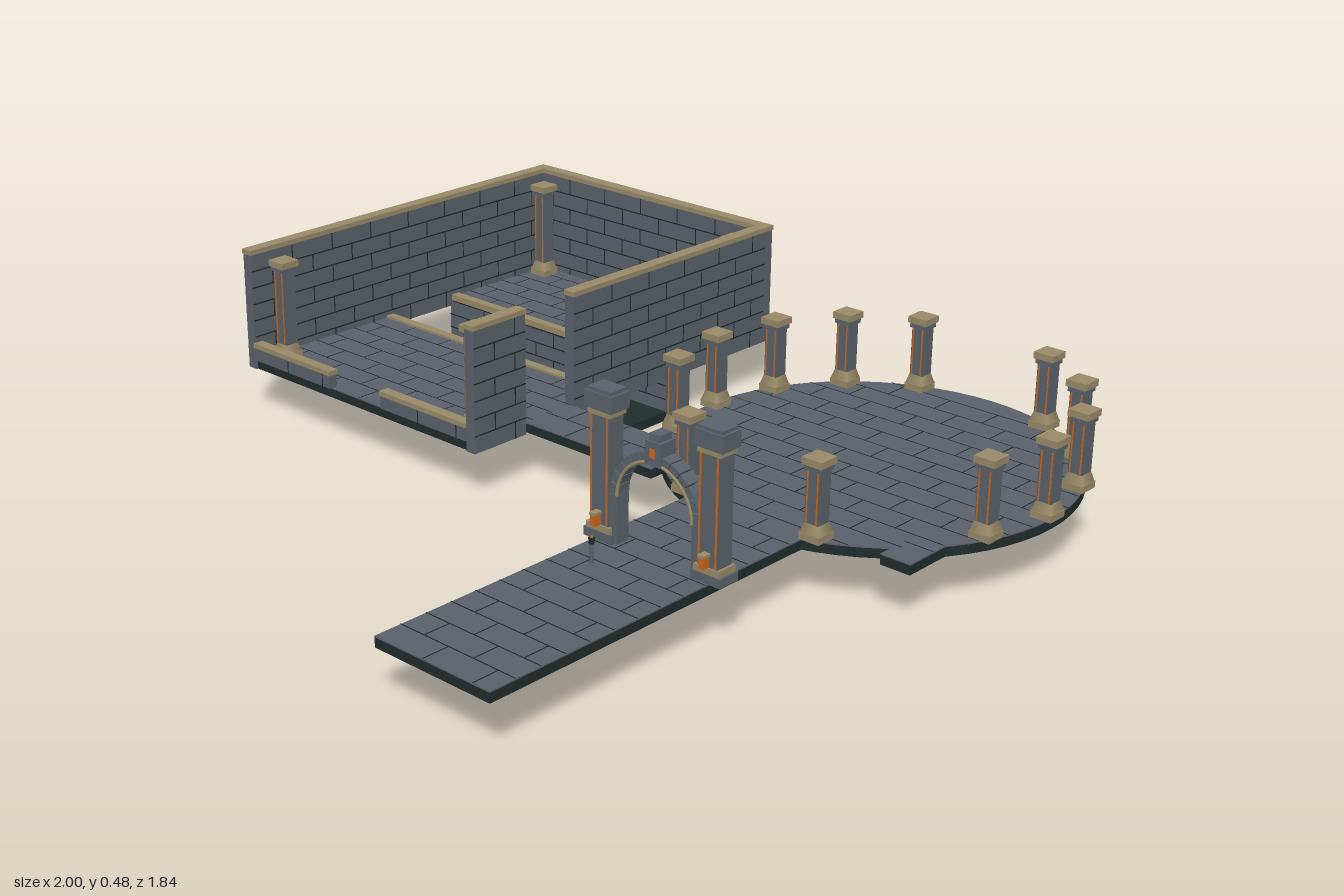
import * as THREE from 'three';
import { mergeGeometries } from 'three/addons/utils/BufferGeometryUtils.js';

const mat = (name, color) => {
  const m = new THREE.MeshStandardMaterial({ color });
  m.name = name;
  return m;
};

export function createModel() {
  const stone = mat('greyStone', 0x59616a);
  const dark = mat('darkStone', 0x1f2c2d);
  const sand = mat('sandstone', 0x988967);
  const glow = mat('orangeGlow', 0xc8661c);
  const root = new THREE.Group();
  root.name = 'ruinedCourt';

  const add = (parent, name, geo, material) => {
    const m = new THREE.Mesh(geo, material);
    m.name = name;
    parent.add(m);
    return m;
  };
  // Box given by its minimum and maximum corners
  const box = (parent, name, material, x0, x1, y0, y1, z0, z1) => {
    const m = add(parent, name, new THREE.BoxGeometry(x1 - x0, y1 - y0, z1 - z0), material);
    m.position.set((x0 + x1) / 2, (y0 + y1) / 2, (z0 + z1) / 2);
    return m;
  };
  const group = (name, x = 0, y = 0, z = 0) => {
    const g = new THREE.Group();
    g.name = name;
    g.position.set(x, y, z);
    root.add(g);
    return g;
  };

  // Running-bond joint lines on a w x h face; radius clips them to a disc
  const joints = (name, w, h, row, brick, radius = 0) => {
    const geos = [], t = 0.0035;
    const strip = (sx, sy, x, y) => geos.push(new THREE.PlaneGeometry(sx, sy).translate(x, y, 0));
    const half = y => (radius ? Math.sqrt(Math.max(0, radius * radius - y * y)) : w / 2);
    const rows = Math.max(1, Math.round(h / row)), rh = h / rows;
    for (let i = 0; i < rows; i++) {
      const y = -h / 2 + i * rh;
      if (i > 0) strip(half(y) * 2, t, 0, y);
      const reach = Math.min(half(y), half(y + rh)) - 0.01;
      for (let x = -w / 2 + (i % 2 ? 0.5 : 1) * brick; x < reach; x += brick)
        if (x > -reach) strip(t, rh, x, y + rh / 2);
    }
    const m = new THREE.Mesh(mergeGeometries(geos), dark);
    m.name = name;
    return m;
  };

  const BASE = 0.12, FLOOR = 0.145;
  // Paved rectangle: dark slab with a grey tiled top
  const paving = (name, x0, x1, z0, z1) => {
    const g = group(name);
    box(g, 'slab', dark, x0, x1, BASE, 0.142, z0, z1);
    box(g, 'tiles', stone, x0, x1, 0.142, FLOOR, z0, z1);
    const j = joints('tileJoints', x1 - x0, z1 - z0, 0.067, 0.134);
    j.rotation.x = -Math.PI / 2;
    j.position.set((x0 + x1) / 2, FLOOR + 0.001, (z0 + z1) / 2);
    g.add(j);
  };
  // Brick wall with joints on its long faces and an optional coping
  const wall = (name, x0, x1, y0, y1, z0, z1, coping = true) => {
    const g = group(name), top = coping ? y1 - 0.012 : y1;
    box(g, 'bricks', stone, x0, x1, y0, top, z0, z1);
    if (coping) box(g, 'coping', sand, x0 - 0.002, x1 + 0.002, top, y1, z0 - 0.002, z1 + 0.002);
    const alongX = x1 - x0 > z1 - z0;
    const thick = (alongX ? z1 - z0 : x1 - x0) / 2 + 0.001;
    for (const side of [1, -1]) {
      const j = joints('brickJoints', alongX ? x1 - x0 : z1 - z0, top - y0, 0.042, 0.13);
      j.position.set((x0 + x1) / 2, (y0 + top) / 2, (z0 + z1) / 2);
      j.position[alongX ? 'z' : 'x'] += side * thick;
      j.rotation.y = alongX ? (side > 0 ? 0 : Math.PI) : side * Math.PI / 2;
      g.add(j);
    }
  };

  // Hall floor on both sides of the channel
  paving('hallFloorBack', -0.99, -0.19, -0.91, -0.54);
  paving('hallFloorFront', -0.99, -0.19, -0.315, 0.13);
  // Hall walls, with a doorway on the left and a low parapet at the front
  wall('backWall', -0.998, -0.182, BASE, 0.43, -0.918, -0.89);
  wall('rightWall', -0.998, -0.97, BASE, 0.43, -0.89, 0.135);
  wall('leftWallBack', -0.21, -0.182, BASE, 0.43, -0.89, -0.19);
  wall('leftWallFront', -0.21, -0.182, BASE, 0.43, -0.03, 0.135);
  wall('parapetRight', -0.97, -0.685, FLOOR, 0.19, 0.115, 0.138);
  wall('parapetLeft', -0.5, -0.21, FLOOR, 0.19, 0.115, 0.138);

  // Sunken channel with edge trims and arrow marks
  wall('channelWallBack', -0.98, -0.2, 0.02, 0.13, -0.555, -0.54, false);
  wall('channelWallFront', -0.98, -0.2, 0.02, 0.13, -0.32, -0.305, false);
  const channel = group('channel');
  box(channel, 'channelFloor', dark, -0.98, -0.2, 0, 0.024, -0.555, -0.305);
  for (const z of [-0.548, -0.312])
    box(channel, 'channelTrim', sand, -0.97, -0.21, FLOOR - 0.01, FLOOR + 0.006, z - 0.012, z + 0.012);
  for (let i = 0; i < 6; i++)
    for (const s of [1, -1]) {
      const arm = add(channel, 'arrowMark', new THREE.BoxGeometry(0.006, 0.002, 0.11), glow);
      arm.position.set(-0.89 + i * 0.118, 0.025, -0.43 + s * 0.053);
      arm.rotation.y = -s * 0.39;
    }

  // Round platform, path, corridor and stray slab
  const CX = 0.515, CZ = -0.43, R = 0.473;
  const disc = group('roundPlatform', CX, 0, CZ);
  add(disc, 'slab', new THREE.CylinderGeometry(R, R, 0.022, 64), dark).position.y = 0.131;
  add(disc, 'tiles', new THREE.CylinderGeometry(R, R, 0.003, 64), stone).position.y = 0.1435;
  const discJoints = joints('tileJoints', 2 * R, 2 * R, 0.067, 0.134, R);
  discJoints.rotation.x = -Math.PI / 2;
  discJoints.position.y = FLOOR + 0.001;
  disc.add(discJoints);
  paving('path', 0.357, 0.67, -0.01, 0.915);
  paving('corridor', -0.2, 0.2, -0.19, -0.04);
  paving('straySlab', 0.83, 0.905, -0.2, -0.04);

  // Square pillar with flared base, cap and glowing front seams
  const pillar = (name, x, z, height) => {
    const g = group(name, x, FLOOR, z);
    box(g, 'plinth', sand, -0.026, 0.026, 0, 0.016, -0.026, 0.026);
    const flare = add(g, 'flare', new THREE.CylinderGeometry(0.026, 0.035, 0.022, 4), sand);
    flare.rotation.y = Math.PI / 4;
    flare.position.y = 0.027;
    flare.material = sand;
    box(g, 'shaft', stone, -0.018, 0.018, 0.03, height - 0.025, -0.018, 0.018);
    box(g, 'neck', stone, -0.022, 0.022, height - 0.028, height - 0.016, -0.022, 0.022);
    box(g, 'cap', sand, -0.026, 0.026, height - 0.016, height, -0.026, 0.026);
    for (const s of [1, -1])
      box(g, 'seam', glow, s * 0.013 - 0.0015, s * 0.013 + 0.0015, 0.04, height - 0.03, 0.018, 0.02);
  };
  for (const x of [-0.93, -0.25]) for (const z of [-0.85, 0.065]) pillar('hallPillar', x, z, 0.255);
  // Ring of sixteen places, four left empty
  for (let i = 0; i < 16; i++) {
    if ([2, 4, 6, 12].includes(i)) continue;
    const a = i * Math.PI / 8;
    pillar('ringPillar', CX + 0.46 * Math.cos(a), CZ + 0.46 * Math.sin(a), 0.185);
  }

  // Gate towers
  for (const s of [1, -1]) {
    const t = group('gateTower', CX + s * 0.147, FLOOR, 0.285);
    box(t, 'foot', stone, -0.039, 0.039, 0, 0.02, -0.028, 0.028);
    box(t, 'footBand', sand, -0.033, 0.033, 0.02, 0.034, -0.026, 0.026);
    box(t, 'shaft', stone, -0.026, 0.026, 0.034, 0.29, -0.022, 0.022);
    box(t, 'collar', sand, -0.031, 0.031, 0.276, 0.288, -0.025, 0.025);
    box(t, 'cap', stone, -0.037, 0.037, 0.288, 0.325, -0.028, 0.028);
    box(t, 'capTop', stone, -0.032, 0.032, 0.325, 0.333, -0.024, 0.024);
    for (const e of [1, -1])
      box(t, 'seam', glow, e * 0.022 - 0.002, e * 0.022 + 0.002, 0.036, 0.274, 0.022, 0.024);
    box(t, 'lamp', glow, -0.006, 0.006, 0.035, 0.06, 0.022, 0.042);
    box(t, 'lampCap', sand, -0.008, 0.008, 0.06, 0.066, 0.022, 0.044);
  }

  // Arch of wedge stones on slim legs, with a keystone
  const arch = group('gateArch', CX, 0.255, 0.285);
  const N = 13;
  for (let i = 0; i < N; i++) {
    const a0 = Math.PI * i / N + 0.012, a1 = Math.PI * (i + 1) / N - 0.012;
    const wedge = new THREE.Shape();
    wedge.absarc(0, 0, 0.121, a0, a1, false);
    wedge.absarc(0, 0, 0.1, a1, a0, true);
    const geo = new THREE.ExtrudeGeometry(wedge, { depth: 0.036, bevelEnabled: false, curveSegments: 3 });
    add(arch, 'archStone', geo.translate(0, 0, -0.018), stone);
  }
  const lining = add(arch, 'archLining', new THREE.TorusGeometry(0.101, 0.004, 6, 32, Math.PI), sand);
  lining.position.z = 0.018;
  for (const s of [1, -1])
    box(arch, 'archLeg', stone, s * 0.111 - 0.01, s * 0.111 + 0.01, -0.11, 0, -0.018, 0.018);
  box(arch, 'keystone', stone, -0.021, 0.021, 0.098, 0.15, -0.022, 0.024);
  box(arch, 'keystoneTop', stone, -0.014, 0.014, 0.15, 0.165, -0.018, 0.02);
  box(arch, 'keystoneGlow', glow, -0.007, 0.007, 0.115, 0.135, 0.024, 0.026);

  // Small torch post beside the gate
  const post = group('torchPost', 0.435, FLOOR, 0.4);
  add(post, 'stick', new THREE.CylinderGeometry(0.004, 0.004, 0.045, 8), stone).position.y = 0.0225;
  add(post, 'head', new THREE.CylinderGeometry(0.007, 0.006, 0.014, 8), dark).position.y = 0.05;
  add(post, 'ember', new THREE.SphereGeometry(0.004, 8, 6), glow).position.y = 0.057;

  return root;
}
